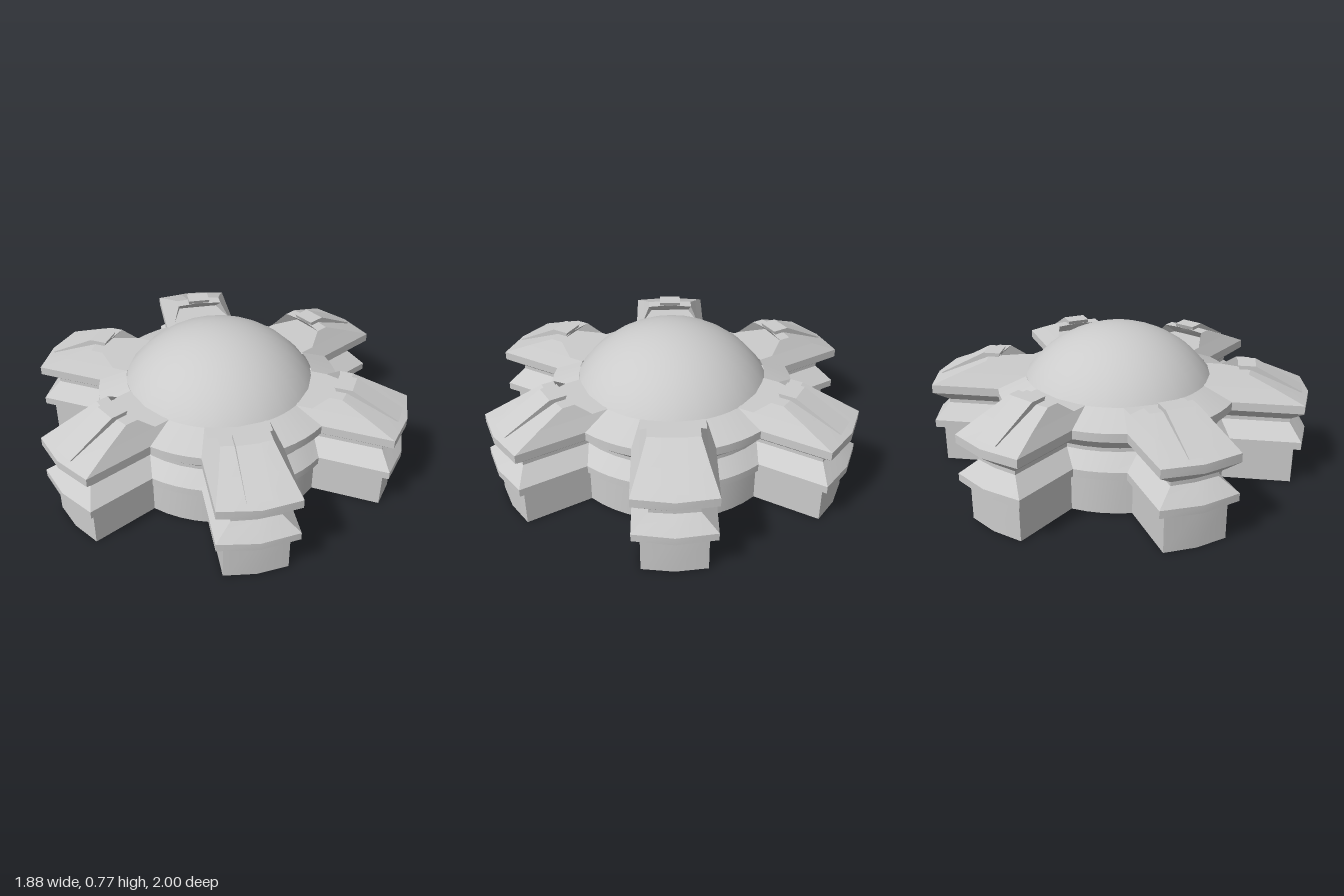
import * as THREE from 'three';
import { toCreasedNormals } from 'three/addons/utils/BufferGeometryUtils.js';

const ARMS = 6, STEP = Math.PI * 2 / ARMS, ARC = 4;
const material = new THREE.MeshStandardMaterial({ color: 0xcccccc, side: THREE.DoubleSide });

// Polygons (counter-clockwise seen from outside) to a creased geometry
function fromFaces(faces) {
  const pos = [];
  for (const f of faces)
    for (let i = 1; i < f.length - 1; i++) pos.push(...f[0], ...f[i], ...f[i + 1]);
  const g = new THREE.BufferGeometry();
  g.setAttribute('position', new THREE.Float32BufferAttribute(pos, 3));
  return toCreasedNormals(g, 0.35);
}

function part(name, geometry, parent) {
  const mesh = new THREE.Mesh(geometry, material);
  mesh.name = name;
  parent.add(mesh);
  return mesh;
}

// Plan outline: a ring of radius r with six arms of half width w and reach R
function outline([y, r, w, R]) {
  const pts = [], j = Math.sqrt(r * r - w * w), half = Math.asin(w / r);
  const end = R - 0.75 * w * w;
  for (let k = 0; k < ARMS; k++) {
    const a = k * STEP, s = Math.sin(a), c = Math.cos(a);
    for (const [x, z] of [[-w, j], [-w, end], [0, R], [w, end], [w, j]])
      pts.push([x * c + z * s, y, z * c - x * s]);
    for (let i = 1; i < ARC; i++) {
      const t = a + half + (STEP - 2 * half) * i / ARC;
      pts.push([r * Math.sin(t), y, r * Math.cos(t)]);
    }
  }
  return pts;
}

export function createModel() {
  const model = new THREE.Group();
  model.name = 'sixArmedDome';

  // Hollow shell, open below: [height, ring radius, arm half width, arm reach]
  const levels = [
    [0, 0.60, 0.16, 0.955],
    [0.20, 0.60, 0.16, 0.955],
    [0.21, 0.64, 0.20, 1.0],
    [0.25, 0.64, 0.20, 1.0],
    [0.325, 0.57, 0.12, 0.92],
    [0.345, 0.57, 0.12, 0.92],
    [0.41, 0.64, 0.20, 1.0],
    [0.455, 0.64, 0.20, 1.0],
    [0.52, 0.49, 0.16, 0.845],
  ].map(outline);
  const walls = [];
  for (let l = 0; l < levels.length - 1; l++) {
    const a = levels[l], b = levels[l + 1], n = a.length;
    for (let i = 0; i < n; i++) {
      const k = (i + 1) % n;
      walls.push([a[i], a[k], b[k], b[i]]);
    }
  }
  part('shell', fromFaces(walls), model);

  // Shallow dome in the middle
  const R = 0.598;
  const dome = part('dome', new THREE.SphereGeometry(R, 24, 12, 0, Math.PI * 2, 0, Math.asin(0.49 / R)), model);
  dome.position.y = 0.77 - R;

  // Raised wedge on each arm, with an undercut, swallow-tailed inner end
  const y0 = 0.52, y1 = 0.58;
  const wedge = fromFaces([
    // sloping front
    [[-0.16, y0, 0.826], [0, y0, 0.845], [0, y1, 0.70], [-0.125, y1, 0.685]],
    [[0, y0, 0.845], [0.16, y0, 0.826], [0.125, y1, 0.685], [0, y1, 0.70]],
    // top
    [[-0.125, y1, 0.685], [0, y1, 0.70], [0, y1, 0.64], [-0.125, y1, 0.62]],
    [[0, y1, 0.70], [0.125, y1, 0.685], [0.125, y1, 0.62], [0, y1, 0.64]],
    // sides
    [[0.16, y0, 0.826], [0.16, y0, 0.545], [0.125, y1, 0.62], [0.125, y1, 0.685]],
    [[-0.16, y0, 0.545], [-0.16, y0, 0.826], [-0.125, y1, 0.685], [-0.125, y1, 0.62]],
    // inner end
    [[0.16, y0, 0.545], [0.11, y0, 0.70], [0.125, y1, 0.62]],
    [[-0.11, y0, 0.70], [-0.16, y0, 0.545], [-0.125, y1, 0.62]],
    [[0.11, y0, 0.70], [-0.11, y0, 0.70], [-0.125, y1, 0.62], [0, y1, 0.64], [0.125, y1, 0.62]],
  ]);

  // Flat floor between dome and wedge
  const deck = fromFaces([[
    [-0.16, y0, 0.463], [-0.16, y0, 0.545], [-0.11, y0, 0.70],
    [0.11, y0, 0.70], [0.16, y0, 0.545], [0.16, y0, 0.463],
  ]]);

  // Rib running down the middle of the wedge
  const profile = new THREE.Shape([
    [0.64, 0.575], [0.63, 0.60], [0.72, 0.60], [0.965, 0.472], [0.94, 0.465], [0.70, 0.565],
  ].map(([z, y]) => new THREE.Vector2(z, y)));
  const rib = new THREE.ExtrudeGeometry(profile, { depth: 0.12, bevelEnabled: false });
  rib.translate(0, 0, -0.06).rotateY(-Math.PI / 2);

  for (let k = 0; k < ARMS; k++) {
    const arm = new THREE.Group();
    arm.name = 'armTop' + (k + 1);
    arm.rotation.y = k * STEP;
    part('wedge', wedge, arm);
    part('deck', deck, arm);
    part('rib', rib, arm);
    model.add(arm);
  }
  return model;
}
